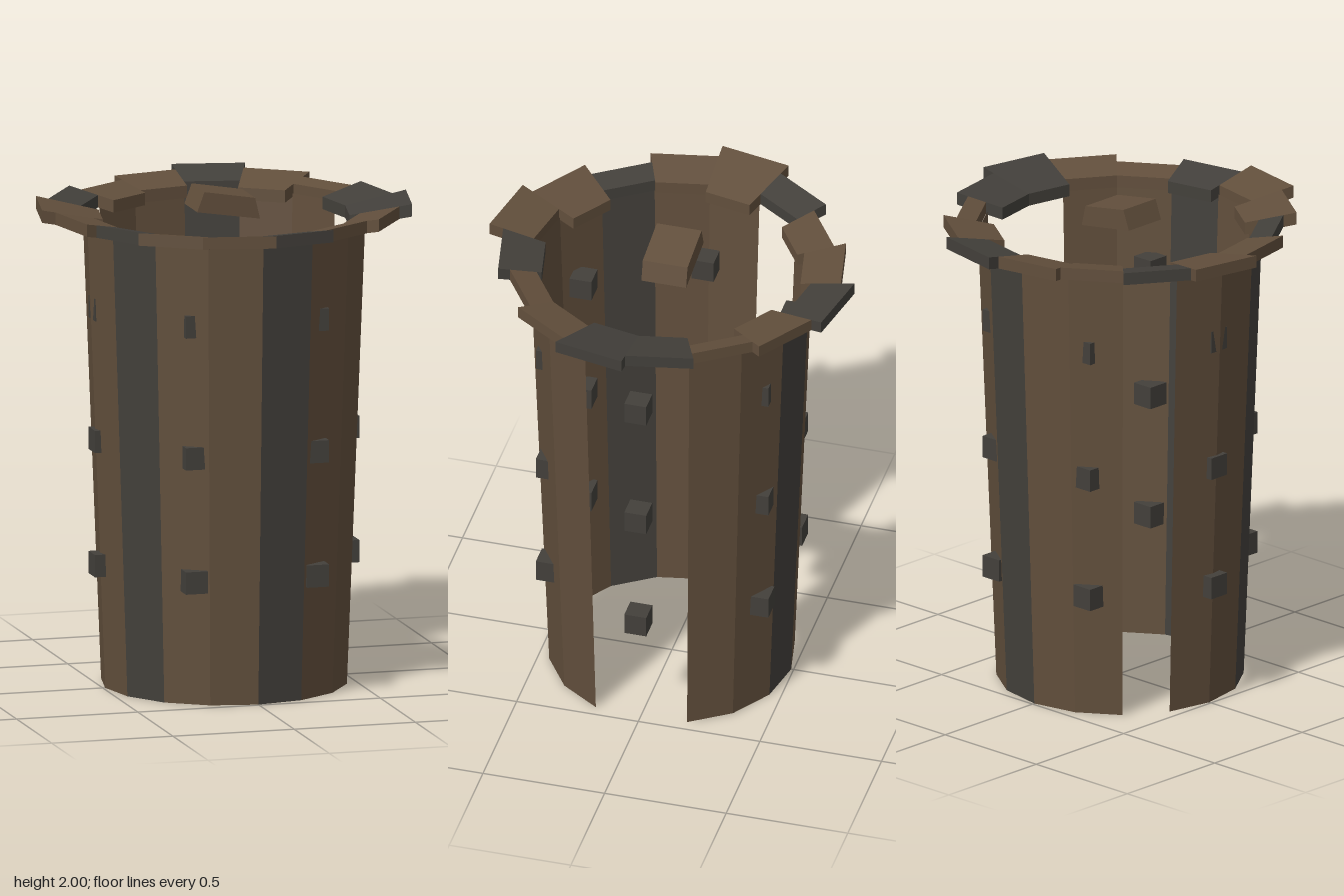
import * as THREE from 'three';

const brown = new THREE.MeshStandardMaterial({ color: 0x624f3c, side: THREE.DoubleSide });
const darkGrey = new THREE.MeshStandardMaterial({ color: 0x43403b, side: THREE.DoubleSide });
brown.name = 'brown wood';
darkGrey.name = 'dark stone';

const SIDES = 16;
const STEP = (Math.PI * 2) / SIDES;
const DARK = [0, 3, 4, 7, 10, 13];      // sectors with dark slabs and panels
const MISSING = [3, 4, 13];             // openings in the wall

// Wraps a unit geometry into sector k, counted clockwise from the back.
// profile(y, z) returns [radius, height].
function sector(geometry, k, profile) {
  const p = geometry.attributes.position;
  for (let i = 0; i < p.count; i++) {
    const angle = (k + 0.5 - p.getX(i)) * STEP;
    const [r, y] = profile(p.getY(i), p.getZ(i));
    p.setXYZ(i, r * Math.sin(angle), y, -r * Math.cos(angle));
  }
  geometry.computeVertexNormals();
  return geometry;
}

function add(parent, name, geometry, material) {
  const mesh = new THREE.Mesh(geometry, material);
  mesh.name = name;
  parent.add(mesh);
  return mesh;
}

export function createModel() {
  const model = new THREE.Group();
  model.name = 'brokenTower';

  // Flared wall of flat panels, with a few panels missing
  const wall = new THREE.Group();
  wall.name = 'wall';
  for (let k = 0; k < SIDES; k++) {
    if (MISSING.includes(k)) continue;
    const panel = sector(new THREE.PlaneGeometry(1, 1), k,
      (y) => [0.49 + 0.073 * (y + 0.5), 1.87 * (y + 0.5)]);
    add(wall, 'wallPanel', panel, DARK.includes(k) ? darkGrey : brown);
  }
  model.add(wall);

  // Uneven rim of wedge slabs, rising outwards
  const rim = new THREE.Group();
  rim.name = 'rim';
  const outer = [0.75, 0.7, 0.647, 0.694];
  const inner = [0.57, 0.5, 0.57, 0.5, 0.5, 0.54, 0.54, 0.52,
    0.568, 0.495, 0.55, 0.54, 0.5, 0.57, 0.5, 0.528];
  for (let k = 0; k < SIDES; k++) {
    const slab = sector(new THREE.BoxGeometry(1, 1, 1), k, (y, z) => {
      const r = z > 0 ? outer[k % 4] : inner[k];
      return [r, 1.85 + 0.2 * (r - 0.53) + (y > 0 ? 0.05 : 0)];
    });
    add(rim, 'rimSlab', slab, DARK.includes(k) ? darkGrey : brown);
  }
  model.add(rim);

  // Three rings of six small blocks set into the wall
  const blocks = new THREE.Group();
  blocks.name = 'blocks';
  for (const y of [0.503, 1.005, 1.538]) {
    for (let i = 0; i < 6; i++) {
      const a = (i * Math.PI) / 3;
      add(blocks, 'block', new THREE.BoxGeometry(0.09, 0.09, 0.09), darkGrey)
        .position.set(0.5 * Math.cos(a), y, 0.5 * Math.sin(a));
    }
  }
  model.add(blocks);

  // Tilted, tapered stone at the top centre
  const outline = new THREE.Shape([[-0.137, 1.92], [0.122, 1.88], [0.102, 1.965], [-0.107, 2]]
    .map(([x, y]) => new THREE.Vector2(x, y)));
  const stone = new THREE.ExtrudeGeometry(outline, { depth: 0.184, bevelEnabled: false });
  stone.translate(0, 0, -0.092);
  add(model, 'capStone', stone, brown);

  return model;
}
